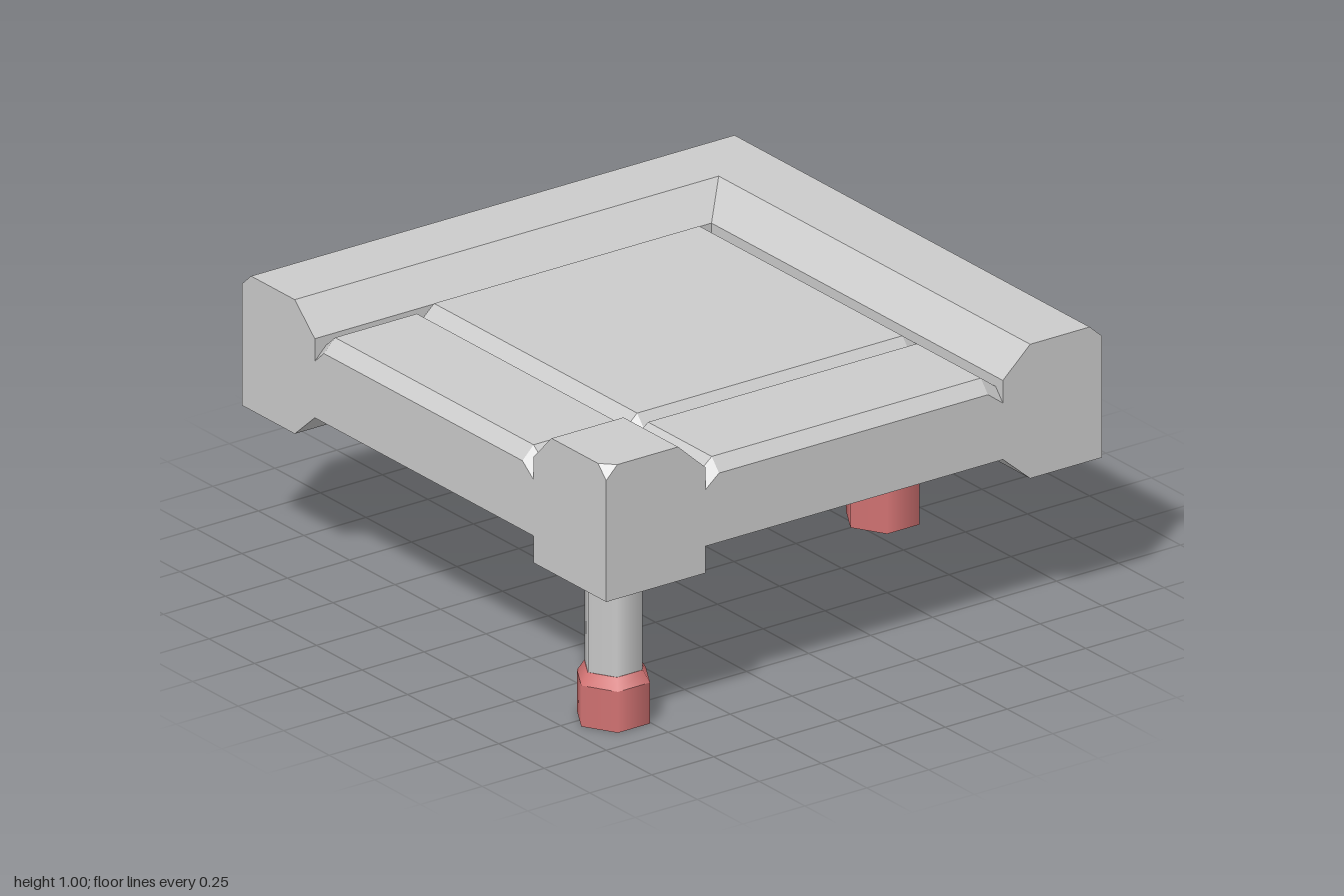
import * as THREE from 'three';
import { ConvexGeometry } from 'three/addons/geometries/ConvexGeometry.js';

const grey = new THREE.MeshStandardMaterial({ color: 0xcccccc });
const red = new THREE.MeshStandardMaterial({ color: 0xd47474 });
const V = (x, y, z) => new THREE.Vector3(x, y, z);

const UNDER = 0.525; // underside of the frame
const FLOOR = 0.62;  // underside of the panels
const TOP = 0.91;    // top of the panels

function part(name, geometry, material = grey) {
  const mesh = new THREE.Mesh(geometry, material);
  mesh.name = name;
  return mesh;
}

// L-shaped frame: one bevelled profile swept along the back, round the mitre, and to the front
function frameGeometry() {
  const profile = [
    [1, UNDER], [1, 0.955], [0.95, 1], [0.71, 1], [0.6, 0.9], [0.6, FLOOR], [0.71, UNDER],
  ];
  const rings = [
    profile.map(([u, y]) => V(-1, y, -u)),
    profile.map(([u, y]) => V(u, y, -u)),
    profile.map(([u, y]) => V(u, y, 1)),
  ];
  const points = [];
  const n = profile.length;
  for (let r = 0; r < 2; r++) {
    for (let i = 0; i < n; i++) {
      const j = (i + 1) % n;
      const a = rings[r][i], b = rings[r][j], c = rings[r + 1][j], d = rings[r + 1][i];
      points.push(a, b, c, a, c, d);
    }
  }
  // end caps
  for (let i = 1; i < n - 1; i++) {
    points.push(rings[0][0], rings[0][i + 1], rings[0][i]);
    points.push(rings[2][0], rings[2][i], rings[2][i + 1]);
  }
  const geometry = new THREE.BufferGeometry().setFromPoints(points);
  geometry.computeVertexNormals();
  return geometry;
}

// Panel with bevelled top edges; the bevel widths are given per side
function panelGeometry(x0, x1, z0, z1, left, right, back, front) {
  const points = [];
  const drop = 0.045;
  for (const [z, y] of [[z0, TOP - drop], [z0 + back, TOP], [z1 - front, TOP], [z1, TOP - drop]]) {
    points.push(
      V(x0, FLOOR, z), V(x1, FLOOR, z),
      V(x0, y - drop, z), V(x1, y - drop, z),
      V(x0 + left, y, z), V(x1 - right, y, z),
    );
  }
  return new ConvexGeometry(points);
}

// Corner block: broad bevels on the two inner sides, a small cut on the outer corner
function cornerGeometry() {
  const points = [];
  for (const x of [-1, -0.6]) {
    for (const z of [0.6, 1]) points.push(V(x, UNDER, z));
  }
  points.push(
    V(-1, 0.9, 0.6), V(-0.6, 0.9, 0.6), V(-0.6, 0.9, 1),
    V(-1, 1, 0.7), V(-0.71, 1, 0.7), V(-0.71, 1, 1),
    V(-1, 0.955, 1), V(-0.955, 1, 1), V(-1, 1, 0.955),
  );
  return new ConvexGeometry(points);
}

// Six-sided leg with a coloured foot
function leg(name, x, z, turn) {
  const group = new THREE.Group();
  group.name = name;
  const shaft = part('legShaft', new THREE.CylinderGeometry(0.1025, 0.1025, 0.37, 6));
  shaft.position.y = 0.355;
  const foot = part('foot', new THREE.CylinderGeometry(0.13, 0.13, 0.145, 6), red);
  foot.position.y = 0.0725;
  const collar = part('footCollar', new THREE.CylinderGeometry(0.104, 0.13, 0.04, 6), red);
  collar.position.y = 0.165;
  group.add(shaft, foot, collar);
  group.position.set(x, 0, z);
  group.rotation.y = turn;
  return group;
}

export function createModel() {
  const model = new THREE.Group();
  model.name = 'platform';
  model.add(
    part('cornerFrame', frameGeometry()),
    part('cornerBlock', cornerGeometry()),
    part('mainPanel', panelGeometry(-0.58, 0.6, -0.6, 0.57, 0.05, 0.06, 0.015, 0.04)),
    part('sidePanel', panelGeometry(-1, -0.58, -0.6, 0.6, 0.045, 0.045, 0.05, 0.06)),
    part('frontPanel', panelGeometry(-0.6, 0.6, 0.57, 1, 0.055, 0.06, 0.04, 0.04)),
    leg('cornerLeg', -0.82, 0.795, Math.PI / 2),
    leg('sideLeg', 0.85, 0, Math.PI / 2),
    leg('backLeg', 0, -0.85, 0),
  );
  return model;
}
